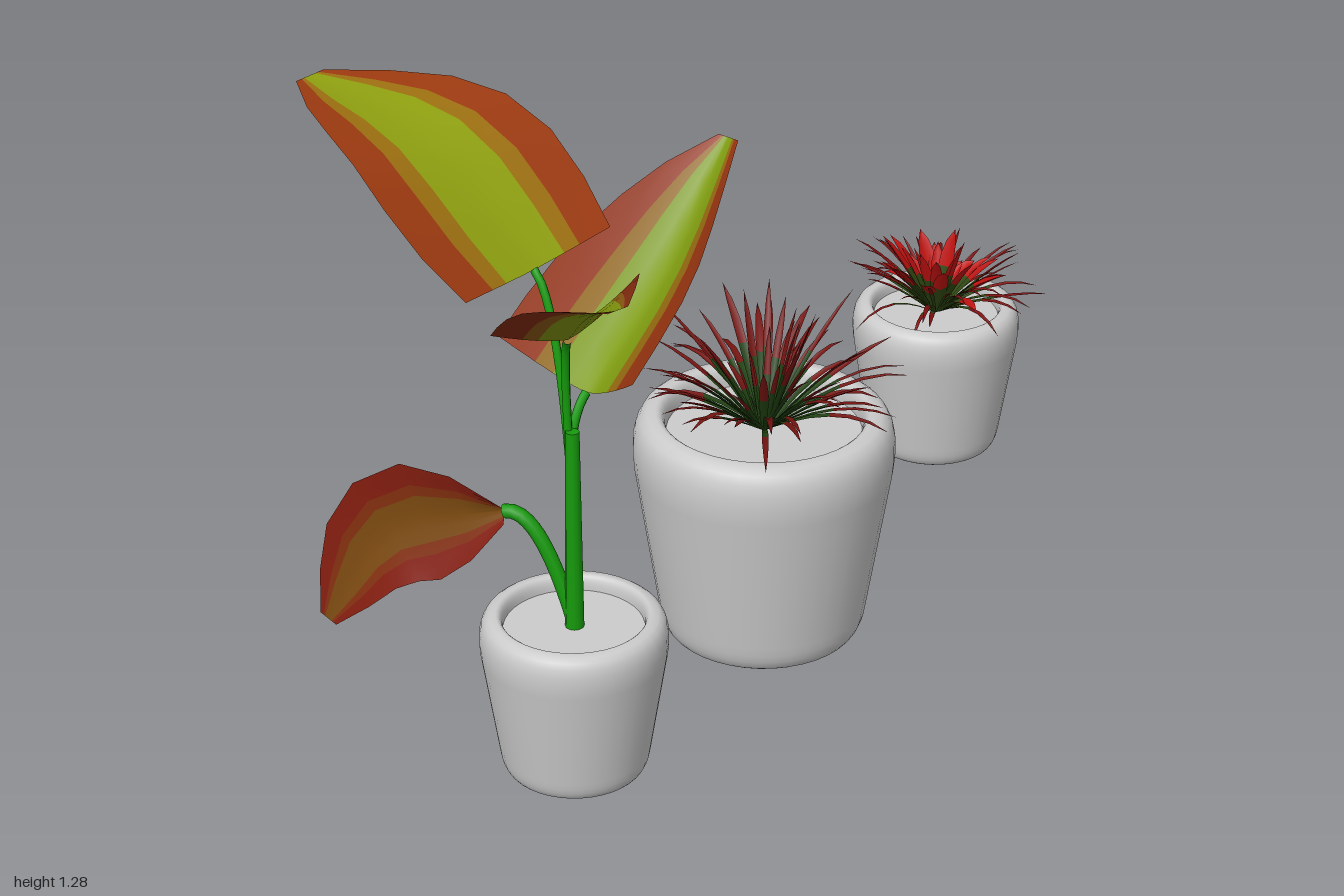
import * as THREE from 'three';
import { mergeGeometries } from 'three/addons/utils/BufferGeometryUtils.js';

const V = (x, y, z) => new THREE.Vector3(x, y, z);
const mat = (color, side = THREE.FrontSide) => new THREE.MeshStandardMaterial({ color, side });
const thin = (color) => mat(color, THREE.DoubleSide);

function add(parent, name, geometry, material) {
  const mesh = new THREE.Mesh(geometry, material);
  mesh.name = name;
  parent.add(mesh);
  return mesh;
}

function seeded(seed) {
  return () => {
    seed = (seed * 16807) % 2147483647;
    return seed / 2147483647;
  };
}

// Leaf surface along a list of spine points, facing `up`; width(t) is the half width and
// lift(t) raises the edges. Each quad goes to the part picked by partOf(t, |u|).
function leafParts({ spine, up, width, lift, columns, count, partOf }) {
  const last = spine.length - 1;
  const positions = [], all = [], parts = Array.from({ length: count }, () => []);
  spine.forEach((point, i) => {
    const t = i / last;
    const tangent = spine[Math.min(i + 1, last)].clone().sub(spine[Math.max(i - 1, 0)]).normalize();
    const side = tangent.clone().cross(up).normalize();
    const normal = side.clone().cross(tangent);
    for (let c = 0; c <= columns; c++) {
      const u = (2 * c) / columns - 1;
      positions.push(...point.clone().addScaledVector(side, u * width(t))
        .addScaledVector(normal, lift(t) * Math.abs(u) ** 1.3).toArray());
    }
  });
  for (let i = 0; i < last; i++) {
    for (let c = 0; c < columns; c++) {
      const p = i * (columns + 1) + c, q = p + columns + 1;
      const quad = [p, p + 1, q, p + 1, q + 1, q];
      all.push(...quad);
      parts[partOf(i / last, Math.abs((2 * c + 1) / columns - 1))].push(...quad);
    }
  }
  const whole = new THREE.BufferGeometry();
  whole.setAttribute('position', new THREE.Float32BufferAttribute(positions, 3));
  whole.setIndex(all);
  whole.computeVertexNormals();
  return parts.map((index) => whole.clone().setIndex(index));
}

// Rounded tapering pot with a sunken soil disc
function pot(name, y, z, radius, height) {
  const group = new THREE.Group();
  group.name = name;
  const outline = new THREE.Path().moveTo(0, 0).lineTo(0.66, 0)
    .quadraticCurveTo(0.77, 0, 0.8, 0.13).lineTo(0.98, 0.75)
    .quadraticCurveTo(1.04, 1, 0.82, 1).quadraticCurveTo(0.74, 1, 0.74, 0.9);
  const body = new THREE.LatheGeometry(outline.getPoints(6), 40).scale(radius, height, radius);
  add(group, 'potBody', body, thin(0xcccccc));
  const soil = add(group, 'soil', new THREE.CircleGeometry(radius * 0.745, 40), mat(0xcccccc));
  soil.rotation.x = -Math.PI / 2;
  soil.position.y = height * 0.91;
  group.position.set(0.168, y, z);
  return group;
}

// Tuft of arching blades, coloured differently at root and tip
function tuft(name, { y, z, count, seed, length, pitch, droop, width, root, tip }) {
  const group = new THREE.Group();
  group.name = name;
  const random = seeded(seed), between = ([a, b]) => a + (b - a) * random();
  const blades = Array.from({ length: count }, (_, k) => {
    const angle = k * 2.4 + random() * 0.5;
    const slope = THREE.MathUtils.degToRad(between(pitch));
    const size = between(length), sag = between(droop) * Math.cos(slope), w = between(width);
    const spine = Array.from({ length: 7 }, (_, i) => {
      const t = i / 6, r = 0.012 + size * Math.cos(slope) * t;
      return V(r * Math.cos(angle), size * Math.sin(slope) * t - sag * t ** 2.5, r * Math.sin(angle));
    });
    const half = (t) => w * (0.45 + 1.1 * t) * (1 - t ** 3);
    return leafParts({ spine, up: V(0, 1, 0), width: half, lift: (t) => half(t) / 2,
      columns: 2, count: 2, partOf: (t) => (t < 0.4 ? 0 : 1) });
  });
  add(group, 'bladeRoots', mergeGeometries(blades.map((b) => b[0])), thin(root));
  add(group, 'bladeTips', mergeGeometries(blades.map((b) => b[1])), thin(tip));
  group.position.set(0.168, y, z);
  return group;
}

// One large leaf in three colour bands, with a stalk that bends into its spine
function bigLeaf(name, { from, spine, up, w, base, lift, colors, stalk }) {
  const group = new THREE.Group();
  group.name = name;
  const curve = new THREE.CatmullRomCurve3(spine);
  const parts = leafParts({
    spine: curve.getPoints(6), up, columns: 10, count: 3,
    width: (t) => w * THREE.MathUtils.lerp(base, 1, Math.sin(Math.min(t / 0.4, 1) * Math.PI / 2))
      * (1 - 0.85 * t ** 2.5),
    lift: (t) => lift * (1 - t ** 3),
    partOf: (t, u) => Math.min(Math.floor(u * 3), 2),
  });
  ['centreBand', 'middleBand', 'edgeBand'].forEach((band, k) => add(group, band, parts[k], thin(colors[k])));
  const bend = spine[0].clone().addScaledVector(curve.getTangent(0), -0.07);
  const path = new THREE.QuadraticBezierCurve3(V(0.165, from, 0.71), bend, spine[0]);
  add(group, 'stalk', new THREE.TubeGeometry(path, 16, stalk, 8), mat(0x169a0c));
  return group;
}

// Tall plant: three raised leaves and a drooping one
function tallPlant() {
  const plant = new THREE.Group();
  plant.name = 'tallPlant';
  const trunk = add(plant, 'trunk', new THREE.CylinderGeometry(0.013, 0.018, 0.42, 12), mat(0x169a0c));
  trunk.position.set(0.167, 0.57, 0.71);
  plant.add(
    bigLeaf('leftLeaf', {
      from: 0.65, spine: [V(0.05, 1.05, 0.645), V(-0.2, 1.24, 0.6), V(-0.51, 1.265, 0.53)],
      up: V(0.1, 1, 0.05), w: 0.23, base: 0.83, lift: 0.02, stalk: 0.008,
      colors: [0x8fa010, 0x9c6f10, 0x9c3a10],
    }),
    bigLeaf('backLeaf', {
      from: 0.65, spine: [V(0.16, 0.83, 0.65), V(0.19, 0.99, 0.42), V(0.22, 1.19, 0.235)],
      up: V(0, 1, 0), w: 0.155, base: 1, lift: 0.11, stalk: 0.009,
      colors: [0x7f9c10, 0x946a10, 0x963410],
    }),
    bigLeaf('frontLeaf', {
      from: 0.65, spine: [V(0.175, 0.98, 0.735), V(0.31, 1.125, 0.88), V(0.43, 1.215, 0.985)],
      up: V(-0.15, 1, 0.1), w: 0.13, base: 1, lift: 0.05, stalk: 0.008,
      colors: [0x84980f, 0x8c5a10, 0x842c10],
    }),
    bigLeaf('droopingLeaf', {
      from: 0.38, spine: [V(0.03, 0.585, 0.73), V(-0.19, 0.51, 0.785), V(-0.31, 0.3, 0.825)],
      up: V(0, 0, 1), w: 0.13, base: 0.15, lift: 0.02, stalk: 0.014,
      colors: [0x7c4a10, 0x84300f, 0x861e10],
    }),
  );
  return plant;
}

export function createModel() {
  const model = new THREE.Group();
  model.name = 'pottedPlants';
  const spiky = { y: 0.45, z: -0.01, width: [0.006, 0.011], root: 0x1f4010, tip: 0x741310 };
  const rosette = { y: 0.38, z: -0.762, root: 0x2f4810 };
  model.add(
    pot('frontPot', 0.07, 0.714, 0.178, 0.33),
    pot('middlePot', 0, -0.01, 0.263, 0.487),
    pot('backPot', 0.07, -0.762, 0.178, 0.33),
    tallPlant(),
    // Spiky plant in the middle pot
    tuft('spikyPlantOuter', { ...spiky, count: 50, seed: 11, length: [0.26, 0.36], pitch: [28, 55], droop: [0.04, 0.16] }),
    tuft('spikyPlantInner', { ...spiky, count: 24, seed: 29, length: [0.16, 0.28], pitch: [50, 82], droop: [0, 0.05] }),
    // Red rosette plant in the back pot
    tuft('rosetteBlades', { ...rosette, count: 45, seed: 41, length: [0.18, 0.26], pitch: [25, 55],
      droop: [0.03, 0.14], width: [0.004, 0.008], tip: 0x7c1010 }),
    tuft('rosetteFlowers', { ...rosette, count: 26, seed: 53, length: [0.14, 0.21], pitch: [40, 80],
      droop: [0.02, 0.09], width: [0.014, 0.022], tip: 0xc01210 }),
  );
  return model;
}
